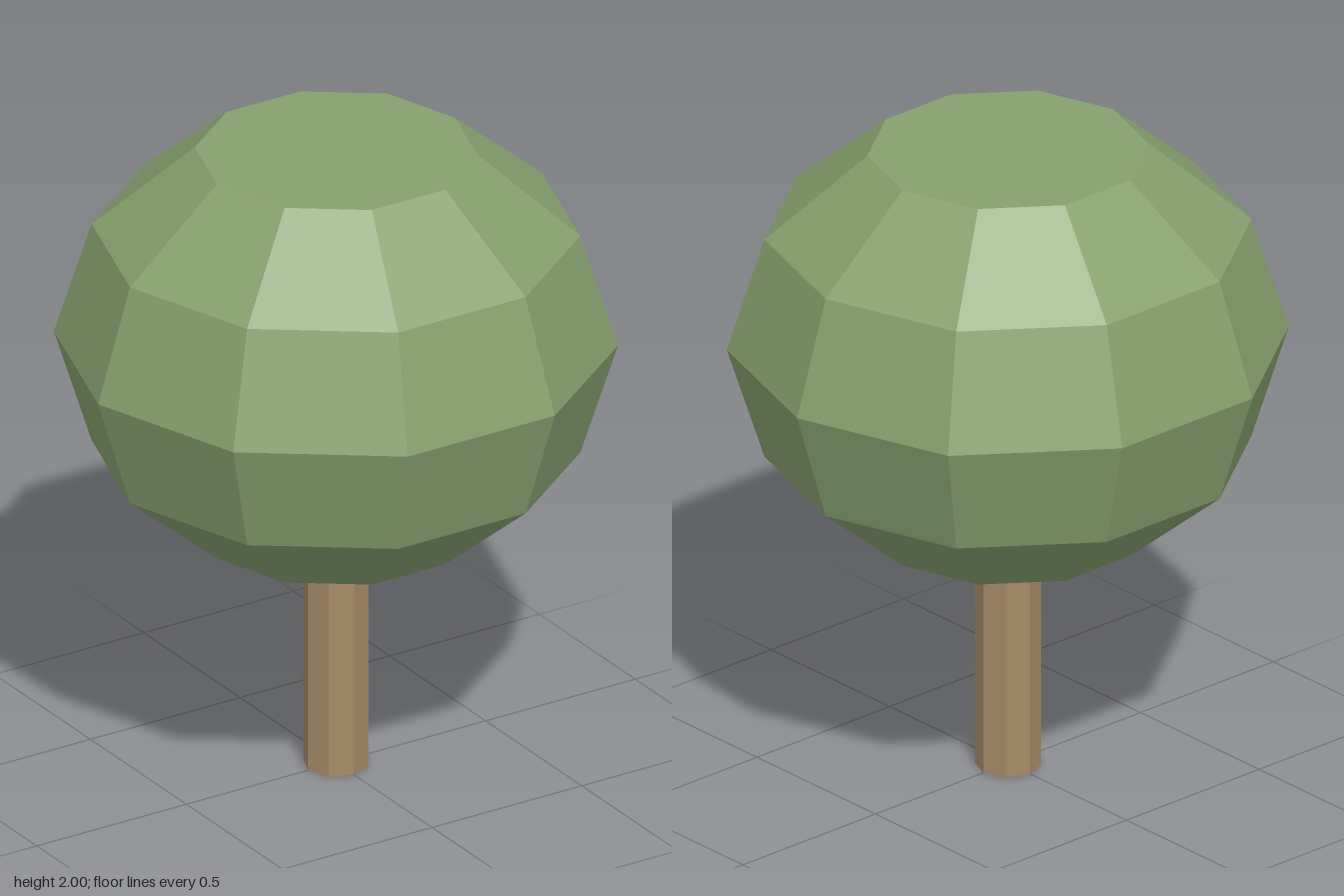
import * as THREE from 'three';

const CROWN_Y = 1.325, CROWN_R = 0.795, CROWN_H = 0.675;

export function createModel() {
  const tree = new THREE.Group();
  tree.name = 'tree';

  // Trunk: octagonal post running up into the crown
  const trunkHeight = 0.8;
  const trunk = new THREE.Mesh(
    new THREE.CylinderGeometry(0.093, 0.093, trunkHeight, 8),
    new THREE.MeshStandardMaterial({ color: 0xa68a68, flatShading: true })
  );
  trunk.name = 'trunk';
  trunk.position.y = trunkHeight / 2;
  tree.add(trunk);

  // Crown: faceted, slightly squashed ball
  const ball = new THREE.SphereGeometry(CROWN_R, 10, 6)
    .scale(1, CROWN_H / CROWN_R, 1)
    .toNonIndexed();
  ball.computeVertexNormals();

  // The shallow caps at both poles are shaded as single flat faces
  const normal = ball.attributes.normal;
  for (let i = 0; i < normal.count; i++) {
    if (Math.abs(normal.getY(i)) > 0.95) normal.setXYZ(i, 0, Math.sign(normal.getY(i)), 0);
  }

  const crown = new THREE.Mesh(ball, new THREE.MeshStandardMaterial({ color: 0x86a06e }));
  crown.name = 'crown';
  crown.position.y = CROWN_Y;
  tree.add(crown);

  return tree;
}
